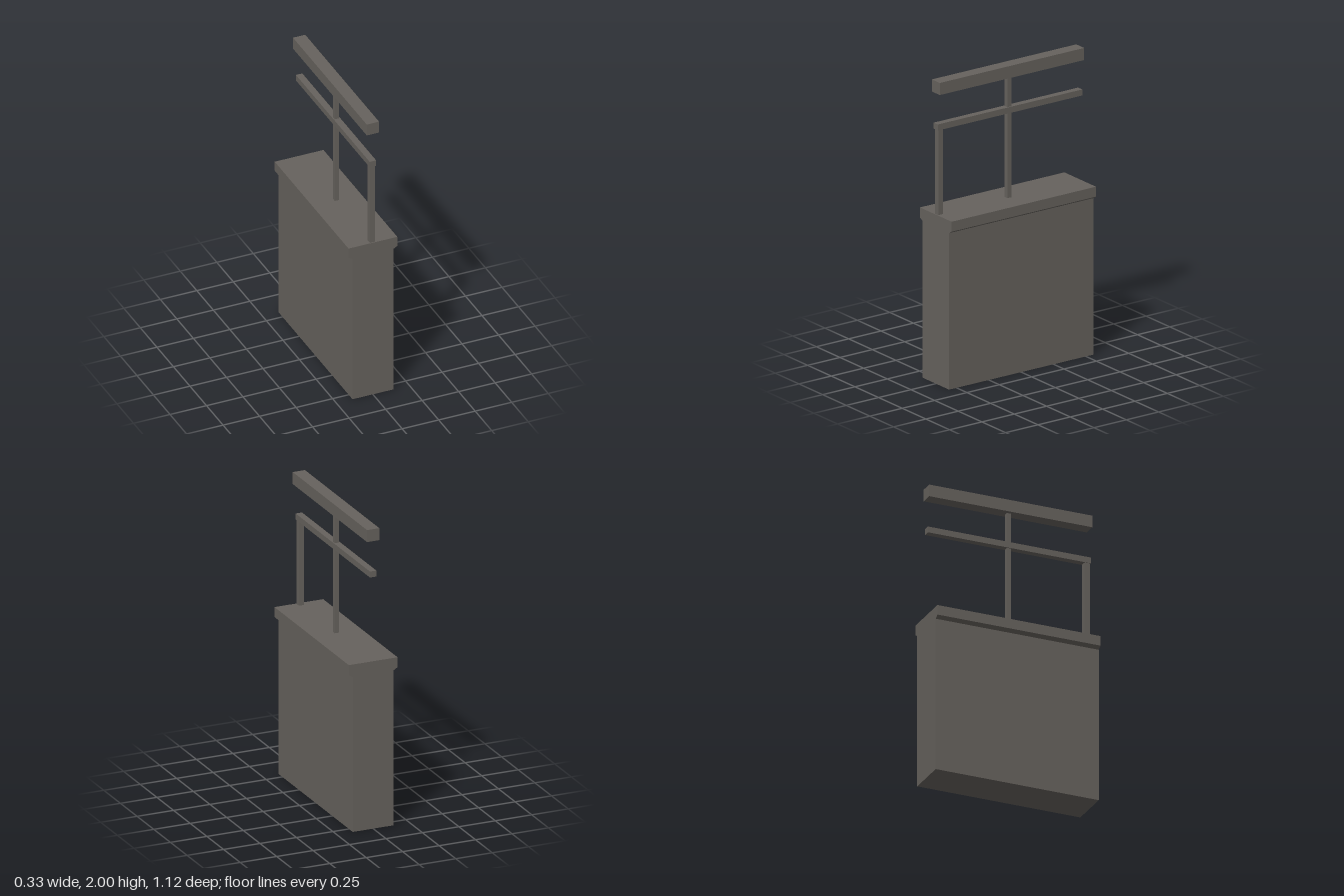
import * as THREE from 'three';

export function createModel() {
  const model = new THREE.Group();
  const concrete = new THREE.MeshStandardMaterial({ color: 0x66625d });
  concrete.name = 'warm grey';
  const length = 1.116;

  const addBox = (name, w, h, d, x, y, z) => {
    const mesh = new THREE.Mesh(new THREE.BoxGeometry(w, h, d), concrete);
    mesh.name = name;
    mesh.position.set(x, y + h / 2, z);
    model.add(mesh);
  };

  // Parapet wall: straight sides flaring into a wider coping
  const half = [[0.14, 0], [0.14, 1.035], [0.167, 1.052], [0.167, 1.118]];
  const outline = [...half, ...half.map(([x, y]) => [-x, y]).reverse()];
  const shape = new THREE.Shape(outline.map(([x, y]) => new THREE.Vector2(x, y)));
  const geometry = new THREE.ExtrudeGeometry(shape, { depth: length, bevelEnabled: false });
  geometry.translate(0, 0, -length / 2);
  const wall = new THREE.Mesh(geometry, concrete);
  wall.name = 'parapetWall';
  model.add(wall);

  // Posts
  addBox('centrePost', 0.03, 0.812, 0.03, 0, 1.113, 0);
  addBox('endPost', 0.036, 0.572, 0.036, 0, 1.113, 0.534);

  // Rails
  addBox('middleRail', 0.044, 0.04, length, 0, 1.68, 0);
  addBox('topRail', 0.084, 0.08, length, 0, 1.92, 0);

  return model;
}
